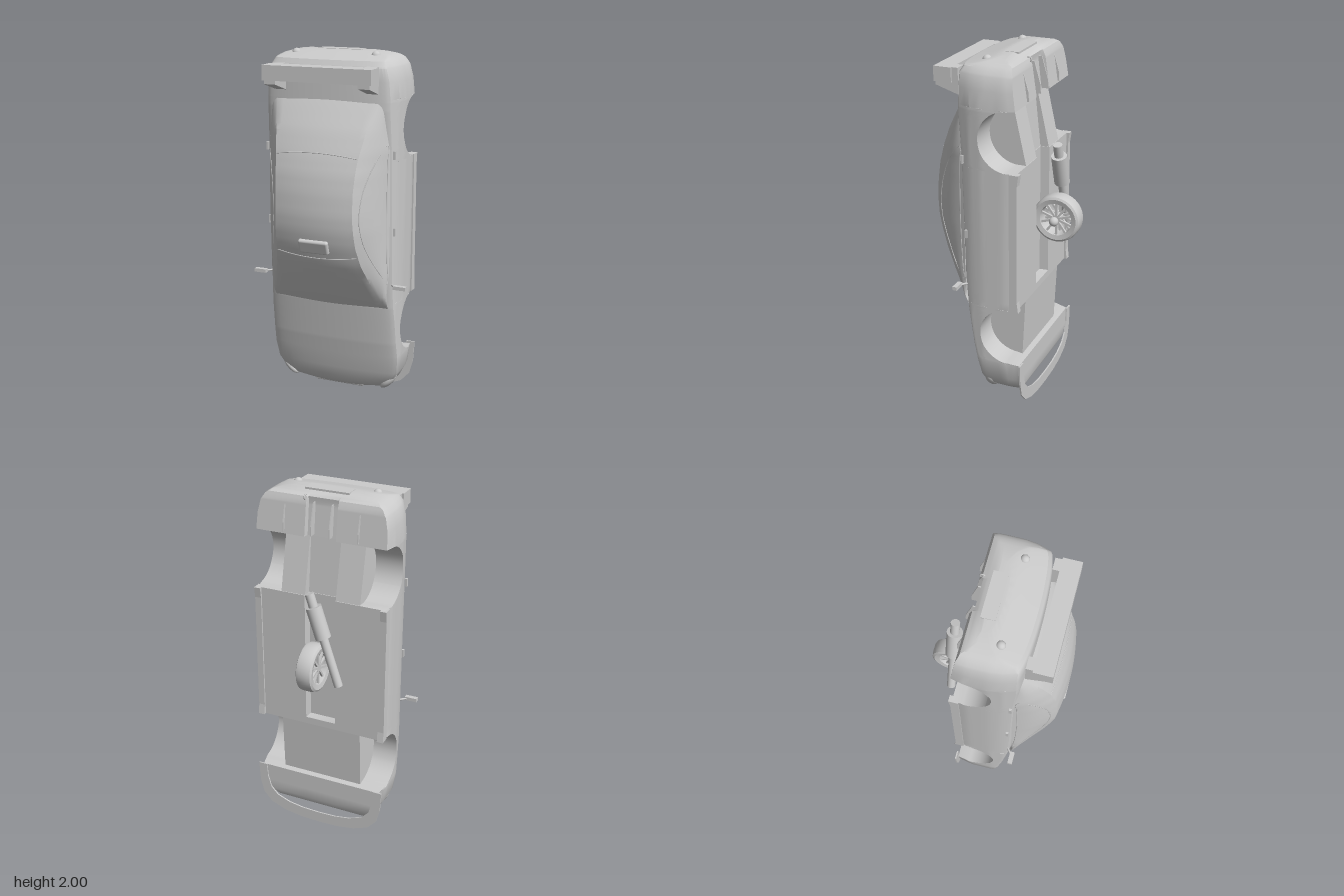
import * as THREE from 'three';
import { toCreasedNormals } from 'three/addons/utils/BufferGeometryUtils.js';
import { RoundedBoxGeometry } from 'three/addons/geometries/RoundedBoxGeometry.js';

const grey = new THREE.MeshStandardMaterial({ color: 0xcccccc, side: THREE.DoubleSide });

// The car stands on its nose: y runs nose to tail, +z is the roof side.
// Piecewise-linear lookup of [position, value] pairs
function lookup(table, y) {
  if (y <= table[0][0]) return table[0][1];
  for (let i = 1; i < table.length; i++) {
    const [a, va] = table[i - 1], [b, vb] = table[i];
    if (y <= b) return va + (vb - va) * (y - a) / (b - a);
  }
  return table[table.length - 1][1];
}

// Skin over closed rings of [x, z] points, one ring per station in y
function loft(stations, ring) {
  const pos = [], index = [];
  const rings = stations.map(ring), n = rings[0].length;
  rings.forEach((r, s) => r.forEach(([x, z]) => pos.push(x, stations[s], z)));
  for (let s = 0; s < rings.length - 1; s++) for (let j = 0; j < n; j++) {
    const k = (j + 1) % n, a = s * n + j, b = a + n, c = s * n + k, d = c + n;
    index.push(a, b, c, c, b, d);
  }
  [0, rings.length - 1].forEach((s, end) => {
    const outline = rings[s].map(p => new THREE.Vector2(...p));
    THREE.ShapeUtils.triangulateShape(outline, []).forEach(([a, b, c]) => {
      const o = s * n;
      index.push(...(end ? [o + a, o + c, o + b] : [o + a, o + b, o + c]));
    });
  });
  const g = new THREE.BufferGeometry();
  g.setAttribute('position', new THREE.Float32BufferAttribute(pos, 3));
  g.setIndex(index);
  return toCreasedNormals(g, 0.55);
}

// Body tables along y
const WIDTH = [[0.07, 0.15], [0.08, 0.22], [0.1, 0.285], [0.14, 0.335], [0.2, 0.368], [0.3, 0.383], [1.75, 0.386],
  [1.85, 0.378], [1.92, 0.36], [1.955, 0.335], [1.975, 0.3], [1.988, 0.25], [1.995, 0.19]];
const TOP = [[0.07, 0.0], [0.08, 0.02], [0.1, 0.045], [0.14, 0.065], [0.2, 0.083], [0.39, 0.122], [0.61, 0.155], [0.8, 0.17],
  [1.5, 0.185], [1.7, 0.2], [1.92, 0.2], [1.955, 0.18], [1.975, 0.1], [1.988, 0.05], [1.995, 0.02]];
const BOTTOM = [[0.07, -0.08], [0.08, -0.12], [0.1, -0.16], [0.14, -0.18], [0.475, -0.18], [0.476, -0.165], [1.595, -0.165],
  [1.76, -0.16], [1.93, -0.135], [1.965, -0.12], [1.98, -0.09], [1.995, -0.05]];
const SIDE = [[-0.2, 0.95], [-0.15, 0.97], [-0.1, 1], [0.03, 1], [0.1, 0.97], [0.17, 0.9], [0.22, 0.82]];
const TUNNEL = [[0.68, 0], [0.682, 0.05], [1.43, 0.05], [1.76, 0.03], [1.93, 0.025], [1.98, 0]];
const ARCH = { r: 0.165, z: -0.12, at: [0.475, 1.595] };

function bodyRing(y) {
  const w = lookup(WIDTH, y), zt = lookup(TOP, y);
  let zb = lookup(BOTTOM, y);
  for (const c of ARCH.at) if (Math.abs(y - c) < ARCH.r) zb = ARCH.z + Math.sqrt(ARCH.r ** 2 - (y - c) ** 2);
  const zs = Math.max(zt - 0.045, zb + 0.005), half = [];
  for (let i = 0; i <= 10; i++) {
    const z = zb + (zs - zb) * i / 10;
    half.push([w * lookup(SIDE, z), z]);
  }
  const xs = half[10][0];
  for (let i = 1; i < 12; i++) {
    const a = i / 12 * Math.PI / 2;
    half.push([xs * Math.cos(a), zs + (zt - zs) * Math.sin(a) ** 0.9]);
  }
  const mirrored = half.map(([x, z]) => [-x, z]).reverse();
  const d = lookup(TUNNEL, y);
  return [...half, [0, zt], ...mirrored, [-0.09, zb], [-0.085, zb + d], [0.085, zb + d], [0.09, zb]];
}

// Cabin: roof height and roof half-width along y
const ROOF = [[0.6, 0.148], [0.66, 0.188], [0.78, 0.262], [0.89, 0.322], [1.0, 0.362], [1.08, 0.379], [1.16, 0.386],
  [1.28, 0.38], [1.38, 0.364], [1.48, 0.335], [1.6, 0.285], [1.72, 0.218], [1.77, 0.188]];
const EDGE = [[0.6, 0.315], [0.66, 0.31], [0.78, 0.275], [0.89, 0.245], [1.0, 0.228], [1.15, 0.22], [1.3, 0.22], [1.45, 0.23], [1.6, 0.255], [1.77, 0.29]];
const roofZ = (y, x) => lookup(ROOF, y) - 0.022 * (x / lookup(EDGE, y)) ** 2;
function cabinSide(y, t) {
  const e = lookup(EDGE, y), ze = roofZ(y, e), z0 = Math.min(0.145, ze - 0.01);
  const base = lookup([[0.6, 0.325], [0.8, 0.348], [1.5, 0.35], [1.77, 0.315]], y);
  return [base + (e - base) * t + 0.018 * Math.sin(Math.PI * t), z0 + (ze - z0) * t];
}
function cabinRing(y) {
  const half = [], e = lookup(EDGE, y);
  for (let i = 0; i <= 8; i++) half.push(cabinSide(y, i / 8));
  for (let i = 1; i < 8; i++) half.push([e * (1 - i / 8), roofZ(y, e * (1 - i / 8))]);
  return [...half, [0, roofZ(y, 0)], ...half.map(([x, z]) => [-x, z]).reverse()];
}

// Side profile of [y, z] points extruded from x0 to x1
function slab(points, x0, x1) {
  const shape = new THREE.Shape(points.map(([y, z]) => new THREE.Vector2(-z, y)));
  return new THREE.ExtrudeGeometry(shape, { depth: x1 - x0, bevelEnabled: false }).rotateY(Math.PI / 2).translate(x0, 0, 0);
}
const box = (w, h, d, x, y, z) => new THREE.BoxGeometry(w, h, d).translate(x, y, z);
function rod(a, b, r, sides = 20) {
  const A = new THREE.Vector3(...a), B = new THREE.Vector3(...b), dir = B.clone().sub(A);
  const q = new THREE.Quaternion().setFromUnitVectors(new THREE.Vector3(0, 1, 0), dir.clone().normalize());
  const m = A.add(B).multiplyScalar(0.5);
  return new THREE.CylinderGeometry(r, r, dir.length(), sides).applyQuaternion(q).translate(m.x, m.y, m.z);
}
function trim(points, closed) {
  const curve = new THREE.CatmullRomCurve3(points.map(p => new THREE.Vector3(...p)), closed);
  return new THREE.TubeGeometry(curve, 60, 0.003, 6, closed);
}

export function createModel() {
  const car = new THREE.Group();
  car.name = 'car';
  const add = (name, geometry, parent = car) => {
    const m = new THREE.Mesh(geometry, grey);
    m.name = name;
    parent.add(m);
    return m;
  };

  // Body shell, with stations packed around the wheel arches
  const ys = [...WIDTH, ...TOP, ...BOTTOM, ...TUNNEL].map(p => p[0]);
  for (const c of ARCH.at) {
    for (let i = 0; i <= 20; i++) ys.push(c + ARCH.r * Math.cos(Math.PI * i / 20));
    ys.push(c - ARCH.r + 0.0005, c + ARCH.r - 0.0005);
  }
  const stations = [...new Set(ys.map(y => +y.toFixed(4)))].sort((a, b) => a - b);
  add('body', loft(stations, bodyRing));
  add('cabin', loft(Array.from({ length: 40 }, (_, i) => 0.6 + 1.17 * i / 39), cabinRing));

  // Roof seams and roof scoop
  for (const y0 of [0.92, 1.49]) {
    const pts = [];
    for (let i = -4; i <= 4; i++) {
      const x = i / 4 * 0.23, y = y0 + (y0 < 1 ? 0.02 : -0.02) * (i / 4) ** 2;
      pts.push([x, y, roofZ(y, x)]);
    }
    add('roofSeam', trim(pts, false));
  }
  const scoop = add('roofScoop', new RoundedBoxGeometry(0.17, 0.08, 0.03, 4, 0.012));
  scoop.position.set(0, 0.99, 0.358);
  scoop.rotation.x = 0.35;

  // Floor between the wheels
  add('frontFloor', slab([[0.3, -0.148], [0.65, -0.165], [0.65, 0.05], [0.3, 0.05]], -0.24, 0.24));
  add('rearFloorCentre', slab([[1.42, -0.112], [1.77, -0.075], [1.77, 0.05], [1.42, 0.05]], -0.1, 0.1));

  // Front splitter: thin band around the nose
  const edge = [[0, 0], [0.12, 0.004], [0.22, 0.02], [0.31, 0.055], [0.36, 0.11], [0.382, 0.19], [0.39, 0.31]];
  const outer = [...edge.slice(1).reverse().map(([x, y]) => [-x, y]), ...edge];
  const inner = outer.map(([x, y]) => [x * 0.87, Math.min(0.31, y * 0.86 + 0.065)]).reverse();
  const band = new THREE.Shape([...outer, ...inner].map(p => new THREE.Vector2(...p)));
  add('splitter', new THREE.ExtrudeGeometry(band, { depth: 0.008, bevelEnabled: false }).translate(0, 0, -0.196));
  add('grille', new RoundedBoxGeometry(0.3, 0.03, 0.03, 3, 0.01).translate(0, 0.083, -0.005));

  // Parts on both sides
  for (const s of [1, -1]) {
    const span = (a, b) => s > 0 ? [a, b] : [-b, -a];
    add('rearFloorSide', slab([[1.42, -0.163], [1.77, -0.085], [1.77, 0.05], [1.42, 0.05]], ...span(0.09, 0.23)));
    add('sill', slab([[0.64, -0.183], [0.7, -0.175], [1.37, -0.175], [1.43, -0.183], [1.43, -0.13], [0.64, -0.13]], ...span(0.35, 0.386)));
    const loop = [];
    for (let i = 0; i <= 10; i++) loop.push([0.76 + 0.077 * i, 0.12]);
    for (let i = 9; i > 0; i--) loop.push([0.76 + 0.077 * i, 0.12 + 0.74 * Math.sin(Math.PI * i / 10) ** 0.5]);
    add('sideWindowFrame', trim(loop.map(([y, t]) => { const [x, z] = cabinSide(y, t); return [s * x, y, z]; }), true));
    add('mirrorArm', rod([s * 0.35, 0.75, 0.12], [s * 0.39, 0.75, 0.152], 0.006, 8));
    add('mirror', box(0.07, 0.02, 0.026, s * 0.416, 0.752, 0.162));
    for (const [y, z] of [[1.05, 0.125], [1.47, 0.14]]) add('doorHandle', box(0.012, 0.045, 0.014, s * 0.369, y, z));
    const lamp = add('headlight', new THREE.SphereGeometry(1, 24, 12));
    lamp.scale.set(0.065, 0.025, 0.035);
    lamp.position.set(s * 0.305, 0.135, 0.01);
    lamp.rotation.z = s * 0.8;
    add('rearLamp', new THREE.SphereGeometry(0.025, 20, 12).translate(s * 0.228, 1.972, 0.055));
    add('wingSupport', slab([[1.93, 0.19], [1.93, 0.32], [1.83, 0.32], [1.79, 0.19]], ...span(0.23, 0.295)));
  }

  // Rear wing, diffuser fins, number plate surround, tow eye
  add('wing', slab([[1.93, 0.225], [1.93, 0.325], [1.85, 0.325], [1.85, 0.225]], -0.305, 0.305));
  for (const x of [-0.215, -0.055, 0.05, 0.21])
    add('diffuserFin', slab([[1.77, -0.115], [1.77, -0.168], [1.82, -0.165], [1.94, -0.13], [1.94, -0.1]], x - 0.003, x + 0.003));
  add('plateSurround', box(0.25, 0.014, 0.075, 0, 1.99, -0.035));
  add('towEye', new THREE.TorusGeometry(0.013, 0.004, 8, 20).rotateY(Math.PI / 2).translate(0.1, 1.96, -0.12));

  // Spare wheel below the floor
  const wheel = new THREE.Group();
  wheel.name = 'spareWheel';
  wheel.position.set(-0.003, 1.065, -0.256);
  wheel.rotation.z = Math.PI / 2;
  car.add(wheel);
  const tyre = [[0.092, -0.042], [0.118, -0.047], [0.13, -0.04], [0.134, -0.025], [0.134, 0.025], [0.13, 0.04], [0.118, 0.047], [0.092, 0.042], [0.088, 0], [0.092, -0.042]];
  add('tyre', toCreasedNormals(new THREE.LatheGeometry(tyre.map(p => new THREE.Vector2(...p)), 48), 0.7), wheel);
  add('hub', new THREE.CylinderGeometry(0.022, 0.022, 0.07, 20), wheel);
  for (let i = 0; i < 10; i++) for (const h of [0.028, -0.028])
    add('spoke', box(0.076, 0.012, 0.012, 0.054, h, 0).rotateY(i * Math.PI / 5), wheel);
  add('wheelNut', new THREE.SphereGeometry(0.026, 20, 14).translate(0.066, 1.065, -0.256));

  // Exhaust: pipe, silencer and tip in one slanted line
  const at = y => [-0.005 + (y - 1.42) * 0.33, y, -0.253];
  add('exhaustPipe', rod(at(0.98), at(1.27), 0.024));
  add('silencer', rod(at(1.25), at(1.42), 0.043, 28));
  add('exhaustTip', rod(at(1.41), at(1.49), 0.025));
  return car;
}
